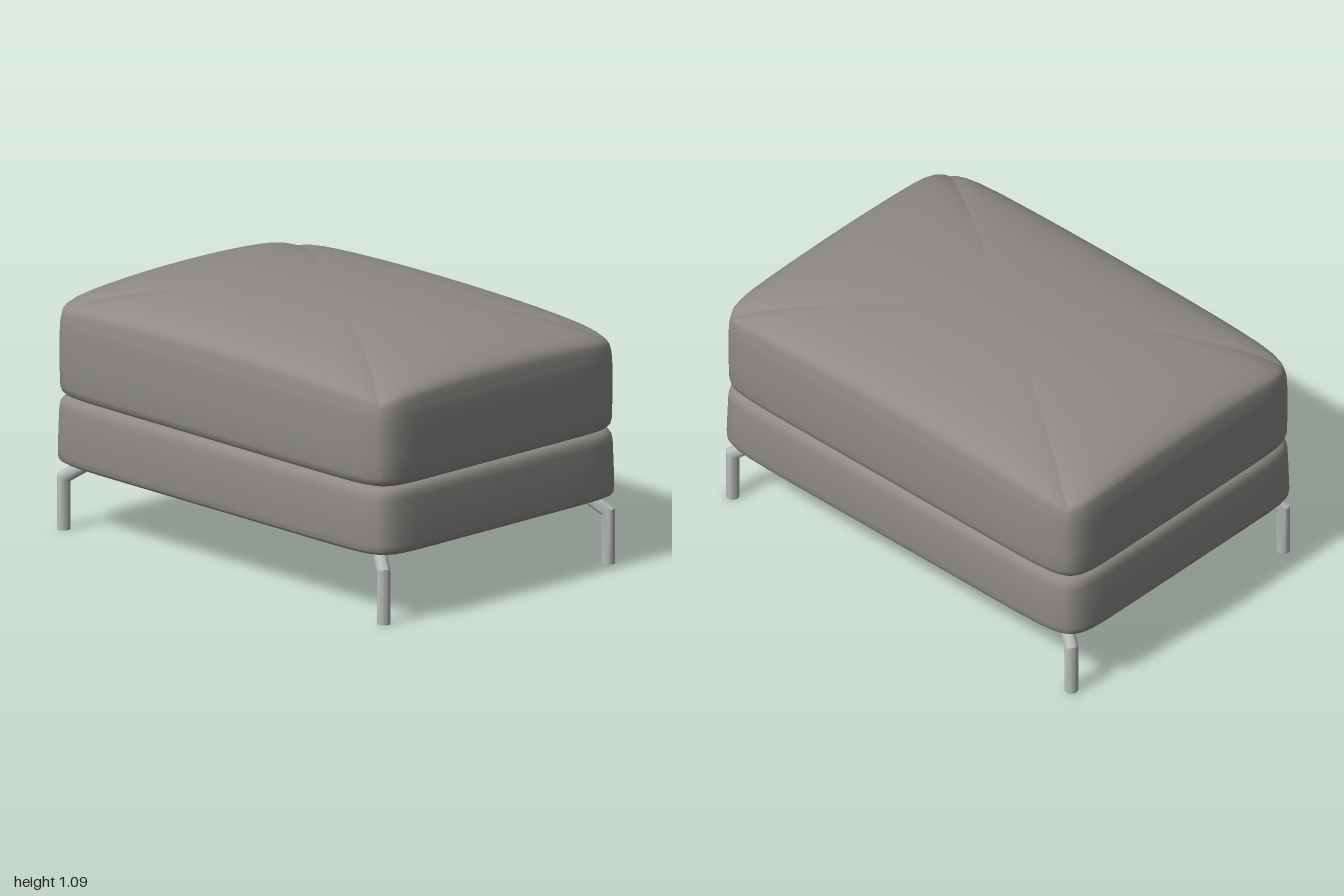
import * as THREE from 'three';
import { toCreasedNormals } from 'three/addons/utils/BufferGeometryUtils.js';

const SIDE = 20; // segments along each side of a loop

// Points around the unit square, denser towards the corners
function squareLoop() {
  const pts = [];
  const ease = (i) => Math.sin((i / SIDE - 0.5) * Math.PI);
  for (let k = 0; k < 4; k++) {
    const c = Math.round(Math.cos(k * Math.PI / 2)), s = Math.round(Math.sin(k * Math.PI / 2));
    for (let i = 0; i < SIDE; i++) {
      const t = ease(i);
      pts.push([c - s * t, s + c * t]);
    }
  }
  return pts;
}

// Closed upholstered shape: stacked bulging rectangles from bottom centre to top centre.
// Each ring is { y, x, z, lift } where y may be a function of the square position.
function loft(rings, power) {
  const loop = squareLoop(), n = loop.length, pos = [], index = [];
  for (const r of rings) {
    for (const [u, v] of loop) {
      const m = Math.pow(Math.abs(u) ** power + Math.abs(v) ** power, 1 / power);
      const y = typeof r.y === 'function' ? r.y(u, v) : r.y;
      pos.push(r.x * u / m, y, r.z * v / m);
    }
  }
  for (let j = 0; j < rings.length - 1; j++) {
    for (let i = 0; i < n; i++) {
      const a = j * n + i, b = j * n + (i + 1) % n;
      index.push(a, a + n, b, b, a + n, b + n);
    }
  }
  const g = new THREE.BufferGeometry();
  g.setAttribute('position', new THREE.Float32BufferAttribute(pos, 3));
  g.setIndex(index);
  return toCreasedNormals(g, 0.75);
}

// Seat cushion with a domed top
function cushionGeometry() {
  const X = 0.993, Z = 0.69, edge = 0.915, rise = 0.175;
  const rings = [{ y: 0.575, x: 0.01, z: 0.01 }];
  for (const [y, inset] of [[0.575, 0.035], [0.58, 0.018], [0.592, 0.007], [0.615, 0.002],
    [0.7, 0], [0.8, 0], [0.87, 0.001], [0.9, 0.004]]) {
    rings.push({ y, x: X - inset, z: Z - inset });
  }
  const steps = 22;
  for (let k = 0; k <= steps; k++) {
    const s = Math.cos(k / steps * Math.PI / 2);
    const y = (u, v) => edge + rise
      * Math.max(0, 1 - (s * u) ** 2) ** 0.3 * Math.max(0, 1 - (s * v) ** 2) ** 0.35;
    rings.push({ y, x: s * (X - 0.007), z: s * (Z - 0.007) });
  }
  return loft(rings, 13);
}

// Base box, slightly wider at the foot, with a rounded top edge
function baseGeometry() {
  const X = 1, Z = 0.695;
  const rings = [[0.292, 0.02, 0.016], [0.297, 0.008, 0.008], [0.306, 0.001, 0.004], [0.33, 0, 0.001],
    [0.42, 0.005, 0], [0.52, 0.01, 0.001], [0.545, 0.014, 0.005], [0.56, 0.022, 0.012],
    [0.57, 0.034, 0.022], [0.575, 0.055, 0.04]]
    .map(([y, dx, dz]) => ({ y, x: X - dx, z: Z - dz }));
  rings.push({ y: 0.575, x: 0.01, z: 0.01 });
  return loft(rings, 13);
}

// Bent round leg: upright post, mitred into an arm that slopes inward under the base
function legGeometry(sx, sz) {
  const radius = 0.028, bend = 0.22, top = 0.3;
  const dir = new THREE.Vector3(-0.1 * sx, 0.075, -0.062 * sz).normalize();
  const normal = dir.clone().add(new THREE.Vector3(0, 1, 0));
  const g = new THREE.CylinderGeometry(radius, radius, 1, 20, 2);
  const p = g.attributes.position;
  for (let i = 0; i < p.count; i++) {
    const x = p.getX(i), z = p.getZ(i), row = p.getY(i);
    let px = 0.942 * sx + x, pz = 0.632 * sz + z, py = 0;
    if (row > -0.25) py = bend - (normal.x * x + normal.z * z) / normal.y;
    if (row > 0.25) {
      const t = (top - py) / dir.y;
      px += dir.x * t;
      pz += dir.z * t;
      py = top;
    }
    p.setXYZ(i, px, py, pz);
  }
  return toCreasedNormals(g, 0.6);
}

export function createModel() {
  const material = (name, color) => {
    const m = new THREE.MeshStandardMaterial({ color });
    m.name = name;
    return m;
  };
  const fabric = material('warm grey upholstery', 0x8e8b87);
  const lining = material('underside lining', 0x7c7c7c);
  const metal = material('satin metal', 0xb4bab8);

  const model = new THREE.Group();
  model.name = 'footstool';
  const add = (name, geometry, mat) => {
    const mesh = new THREE.Mesh(geometry, mat);
    mesh.name = name;
    model.add(mesh);
  };

  add('cushion', cushionGeometry(), fabric);
  add('base', baseGeometry(), fabric);

  // Thin panel closing the underside
  add('undersidePanel', loft([
    { y: 0.291, x: 0, z: 0 },
    { y: 0.291, x: 0.98, z: 0.679 },
    { y: 0.295, x: 0.982, z: 0.681 },
  ], 13), lining);

  // Four mirrored legs
  for (const [sz, end] of [[1, 'front'], [-1, 'back']]) {
    for (const [sx, hand] of [[1, 'Left'], [-1, 'Right']]) {
      add(`${end}${hand}Leg`, legGeometry(sx, sz), metal);
    }
  }
  return model;
}
